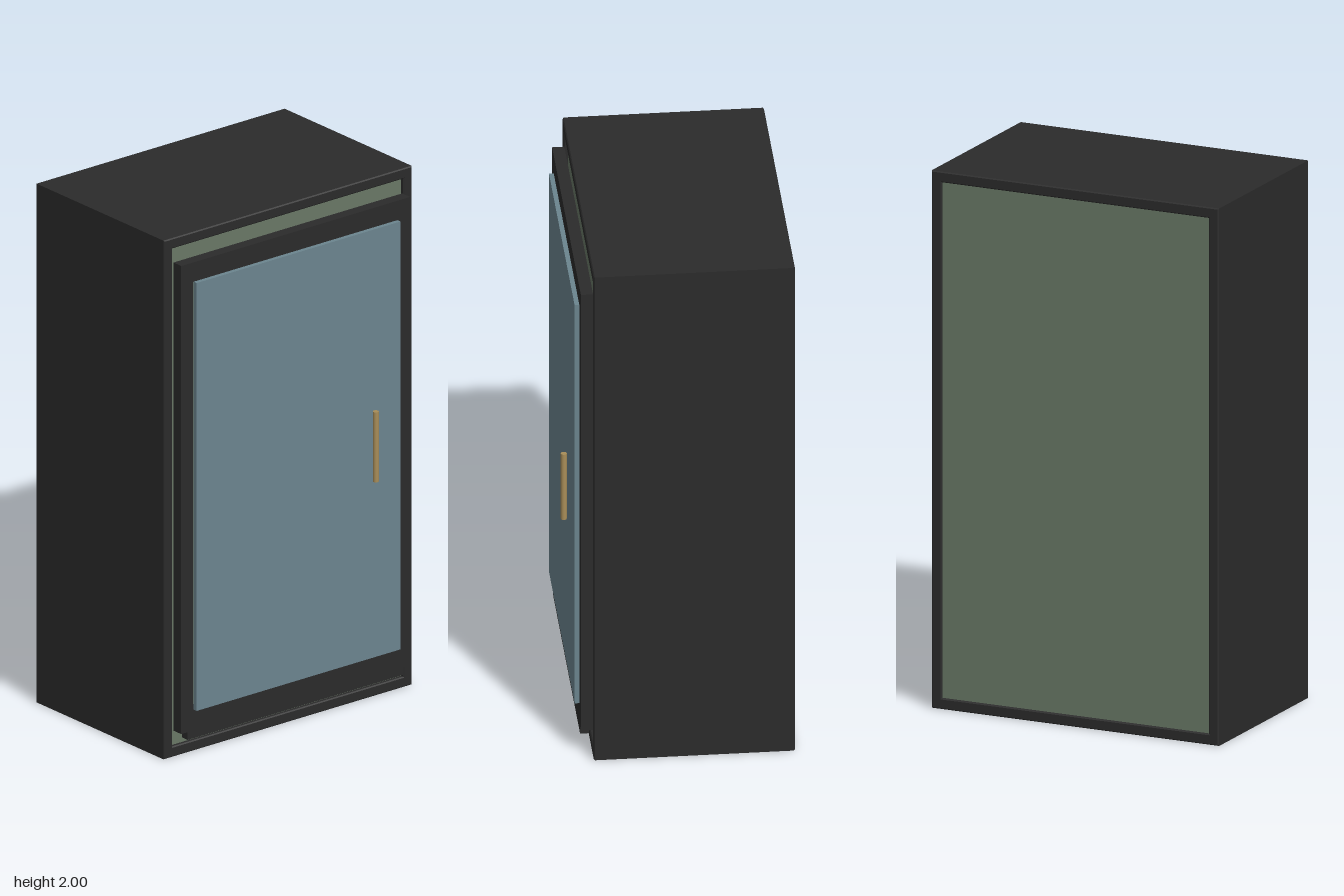
import * as THREE from 'three';

const mat = (name, color) => new THREE.MeshStandardMaterial({ name, color });

export function createModel() {
  const black = mat('charcoal', 0x2b2b2b);
  const green = mat('sage green', 0x697866);
  const blue = mat('glass blue', 0x6c858f);
  const brass = mat('brass', 0xa88d58);
  const model = new THREE.Group();
  model.name = 'cabinet';

  const add = (name, geometry, material, x = 0, y = 0, z = 0) => {
    const mesh = new THREE.Mesh(geometry, material);
    mesh.name = name;
    mesh.position.set(x, y, z);
    model.add(mesh);
    return mesh;
  };
  // Box given by its limits on each axis
  const slab = (name, material, [x0, x1], [y0, y1], [z0, z1]) =>
    add(name, new THREE.BoxGeometry(x1 - x0, y1 - y0, z1 - z0), material,
      (x0 + x1) / 2, (y0 + y1) / 2, (z0 + z1) / 2);
  const rect = (target, w, y0, y1) => {
    target.moveTo(-w, y0);
    target.lineTo(w, y0);
    target.lineTo(w, y1);
    target.lineTo(-w, y1);
    target.closePath();
    return target;
  };

  // Case: one rectangular tube with finely bevelled front and back rims
  const b = 0.004;
  const outline = rect(new THREE.Shape(), 0.575 - b, b, 2 - b);
  outline.holes.push(rect(new THREE.Path(), 0.535 + b, 0.04 - b, 1.96 + b));
  add('caseShell', new THREE.ExtrudeGeometry(outline, {
    depth: 0.725 - 2 * b, bevelThickness: b, bevelSize: b, bevelSegments: 1,
  }), black, 0, 0, -0.41 + b);

  // Recessed panels closing the case
  slab('backPanel', green, [-0.537, 0.537], [0.038, 1.962], [-0.4, -0.38]);
  slab('frontPanel', green, [-0.537, 0.537], [0.038, 1.962], [0.28, 0.3]);

  // Door frame: stiles, top rail and lower kick rail
  for (const side of [-1, 1]) {
    slab(side > 0 ? 'leftStile' : 'rightStile', black,
      side > 0 ? [0.475, 0.53] : [-0.53, -0.475], [0.1, 1.905], [0.313, 0.357]);
  }
  slab('topRail', black, [-0.475, 0.475], [1.83, 1.905], [0.313, 0.357]);
  slab('bottomRail', black, [-0.475, 0.475], [0.1, 0.18], [0.313, 0.357]);
  slab('kickRail', black, [-0.5, 0.5], [0.07, 0.1], [0.325, 0.357]);

  // Door pane and bar handle
  slab('doorPane', blue, [-0.472, 0.472], [0.18, 1.83], [0.355, 0.374]);
  add('handle', new THREE.CylinderGeometry(0.011, 0.011, 0.27, 20), brass, 0.337, 1.005, 0.4);

  return model;
}
